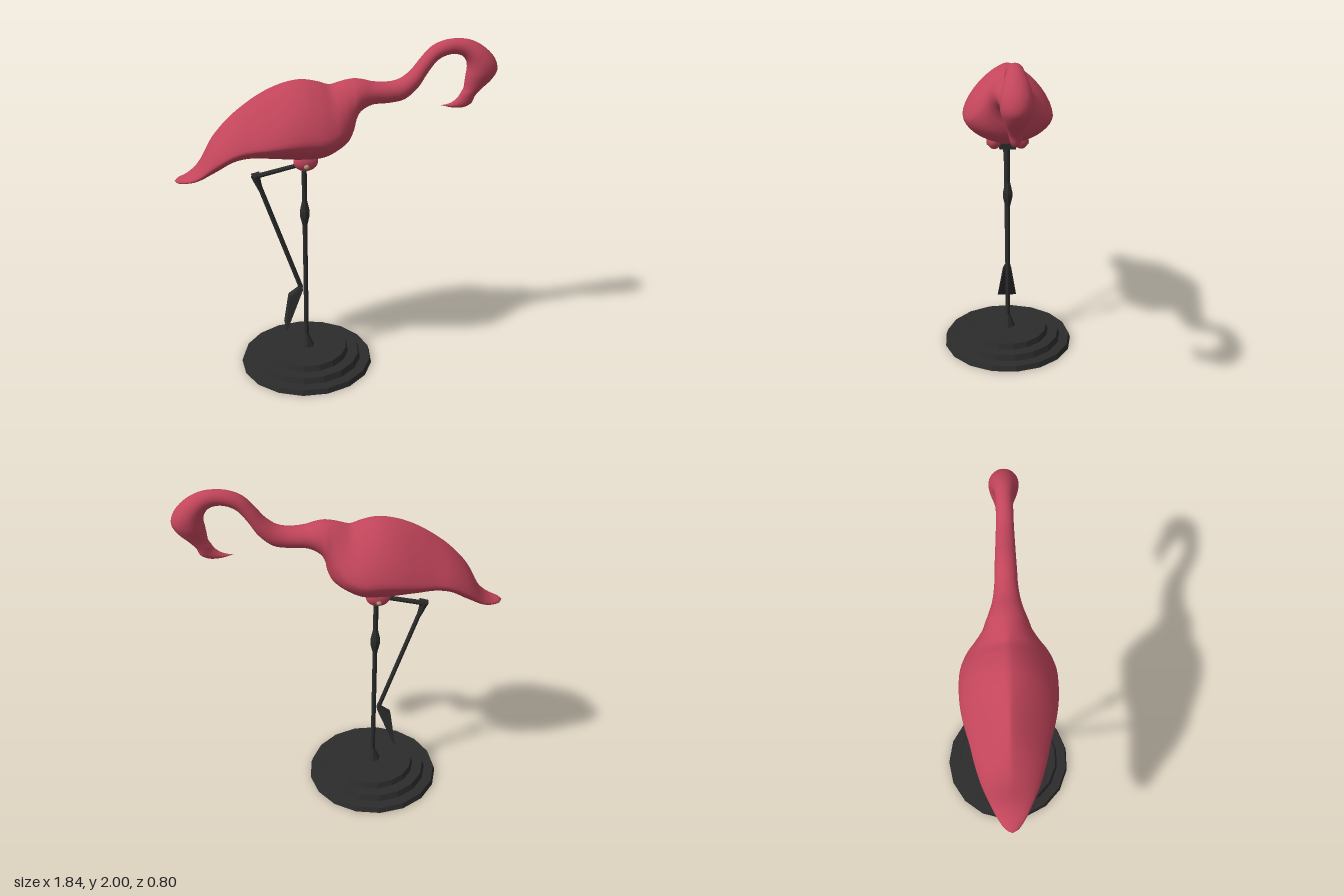
import * as THREE from 'three';

const pink = new THREE.MeshStandardMaterial({ color: 0xc2455b });
pink.name = 'flamingo pink';
const dark = new THREE.MeshStandardMaterial({ color: 0x2c2c2c, flatShading: true });
dark.name = 'dark iron';
const brass = new THREE.MeshStandardMaterial({ color: 0xb9aa80 });
brass.name = 'pale brass';

const POLE_X = -0.19;

// Cross-sections: upper x, y, lower x, y, half width, height fraction of the widest point
const bodyRows = [
  [-0.925, 1.25, -0.925, 1.25, 0, 0.5],
  [-0.905, 1.265, -0.905, 1.238, 0.035, 0.5],
  [-0.85, 1.285, -0.85, 1.243, 0.075, 0.46],
  [-0.79, 1.34, -0.79, 1.257, 0.108, 0.42],
  [-0.7, 1.5, -0.69, 1.305, 0.157, 0.36],
  [-0.6, 1.612, -0.59, 1.36, 0.19, 0.32],
  [-0.5, 1.692, -0.5, 1.376, 0.212, 0.3],
  [-0.4, 1.752, -0.4, 1.37, 0.24, 0.31],
  [-0.3, 1.79, -0.3, 1.36, 0.259, 0.34],
  [-0.2, 1.805, -0.2, 1.352, 0.264, 0.36],
  [-0.11, 1.79, -0.09, 1.358, 0.256, 0.36],
  [-0.045, 1.77, 0.0, 1.398, 0.222, 0.36],
  [0.0, 1.778, 0.06, 1.44, 0.172, 0.4],
  [0.05, 1.79, 0.09, 1.5, 0.133, 0.45],
  [0.1, 1.795, 0.102, 1.56, 0.115, 0.48],
  [0.15, 1.788, 0.125, 1.605, 0.097, 0.5],
  [0.21, 1.773, 0.19, 1.643, 0.077, 0.5],
];

// The neck, head and bill: outer x, y, inner x, y, half width
const neckRows = [
  [0.3, 1.77, 0.3, 1.65, 0.063],
  [0.36, 1.785, 0.385, 1.667, 0.06],
  [0.42, 1.83, 0.46, 1.73, 0.055],
  [0.47, 1.892, 0.515, 1.815, 0.05],
  [0.53, 1.957, 0.567, 1.88, 0.046],
  [0.6, 1.99, 0.62, 1.908, 0.045],
  [0.68, 2.0, 0.67, 1.913, 0.045],
  [0.76, 1.988, 0.712, 1.9, 0.054],
  [0.84, 1.945, 0.737, 1.87, 0.07],
  [0.9, 1.882, 0.745, 1.83, 0.08],
  [0.918, 1.82, 0.74, 1.79, 0.077],
  [0.89, 1.765, 0.735, 1.75, 0.062],
  [0.84, 1.715, 0.73, 1.71, 0.047],
  [0.8, 1.67, 0.716, 1.685, 0.038],
  [0.78, 1.625, 0.7, 1.66, 0.03],
  [0.74, 1.603, 0.67, 1.635, 0.024],
  [0.68, 1.601, 0.64, 1.623, 0.016],
  [0.6, 1.618, 0.6, 1.618, 0],
].map((row) => [...row, 0.5]);

// Smooth skin through the sections, pointed on the back where the wings sit low
function loft(rows, steps, sides) {
  const path = (a, b, c) => new THREE.CatmullRomCurve3(rows.map((r) => new THREE.Vector3(r[a], r[b], c === undefined ? 0 : r[c])));
  const upper = path(0, 1, 4), lower = path(2, 3, 5);
  const positions = [], index = [];
  for (let i = 0; i <= steps; i++) {
    const u = upper.getPoint(i / steps), l = lower.getPoint(i / steps);
    const width = Math.max(0, u.z), widest = l.z;
    for (let j = 0; j < sides; j++) {
      const a = (j / sides) * Math.PI * 2;
      const c = Math.cos(a), s = Math.sin(a);
      const power = c > 0 ? 2 / (2 - (0.5 - widest) * 3.6) : 2 / (2 - (0.5 - widest) * 2);
      const up = Math.sign(c) * Math.abs(c) ** power;
      const out = Math.sign(s) * Math.abs(s) ** power;
      const t = widest + up * (c > 0 ? 1 - widest : widest);
      positions.push(l.x + (u.x - l.x) * t, l.y + (u.y - l.y) * t, out * width);
      if (i < steps) {
        const p = i * sides + j, q = i * sides + ((j + 1) % sides);
        index.push(p, q, p + sides, q, q + sides, p + sides);
      }
    }
  }
  const geometry = new THREE.BufferGeometry();
  geometry.setAttribute('position', new THREE.Float32BufferAttribute(positions, 3));
  geometry.setIndex(index);
  geometry.computeVertexNormals();
  return geometry;
}

export function createModel() {
  const model = new THREE.Group();
  model.name = 'flamingoOnStand';

  const add = (name, geometry, material, x = 0, y = 0, z = 0) => {
    const mesh = new THREE.Mesh(geometry, material);
    mesh.name = name;
    mesh.position.set(x, y, z);
    model.add(mesh);
    return mesh;
  };

  // Tapered rod between two points in the plane z = 0
  const rod = (name, x1, y1, r1, x2, y2, r2, sides = 8) => {
    const d = new THREE.Vector3(x2 - x1, y2 - y1, 0);
    const mesh = add(name, new THREE.CylinderGeometry(r2, r1, d.length(), sides), dark, (x1 + x2) / 2, (y1 + y2) / 2);
    mesh.quaternion.setFromUnitVectors(new THREE.Vector3(0, 1, 0), d.normalize());
  };

  add('bodyNeckAndHead', loft([...bodyRows, ...neckRows], 170, 40), pink);

  // Hip lobes with a brass pin on each side
  for (const side of [1, -1]) {
    const hip = add('hip', new THREE.SphereGeometry(1, 24, 16), pink, POLE_X, 1.352, side * 0.08);
    hip.scale.set(0.07, 0.055, 0.045);
    const pin = add('hipPin', new THREE.SphereGeometry(0.016, 12, 8), brass, POLE_X, 1.335, side * 0.119);
    pin.scale.z = 0.6;
  }
  add('hipBlock', new THREE.BoxGeometry(0.05, 0.035, 0.1), dark, POLE_X, 1.315);

  // Three-tiered base
  [[0.405, 0.395, 0, 0.032], [0.335, 0.322, 0.032, 0.068], [0.258, 0.246, 0.068, 0.102]].forEach(([r1, r2, y1, y2]) => {
    const tier = add('baseTier', new THREE.CylinderGeometry(r2, r1, y2 - y1, 17), dark, POLE_X, (y1 + y2) / 2);
    tier.rotation.y = Math.PI;
  });

  // Standing leg with flared foot and swollen joint
  const legProfile = [[0.047, 0.1], [0.018, 0.17], [0.014, 0.18], [0.014, 0.92], [0.029, 0.985], [0.029, 1.015], [0.015, 1.08], [0.015, 1.33]];
  add('standingLeg', new THREE.LatheGeometry(legProfile.map(([r, y]) => new THREE.Vector2(r, y)), 8), dark, POLE_X);

  // Raised leg
  rod('raisedThigh', POLE_X, 1.31, 0.013, -0.45, 1.252, 0.015);
  rod('raisedKnee', -0.492, 1.25, 0.016, -0.445, 1.255, 0.024);
  rod('raisedKneeLower', -0.472, 1.255, 0.026, -0.445, 1.17, 0.014);
  rod('raisedShin', -0.465, 1.235, 0.014, -0.22, 0.51, 0.014);

  // Hanging webbed foot, widening towards the toes
  const outline = [[-0.215, 0.525], [-0.295, 0.46], [-0.322, 0.252], [-0.312, 0.256], [-0.21, 0.5]];
  const foot = new THREE.ExtrudeGeometry(new THREE.Shape(outline.map(([x, y]) => new THREE.Vector2(x, y))), { depth: 2, bevelEnabled: false });
  const p = foot.attributes.position;
  for (let i = 0; i < p.count; i++) {
    const half = 0.016 + 0.044 * THREE.MathUtils.clamp((0.525 - p.getY(i)) / 0.27, 0, 1);
    p.setZ(i, (p.getZ(i) - 1) * half);
  }
  foot.computeVertexNormals();
  add('raisedFoot', foot, dark);

  return model;
}
